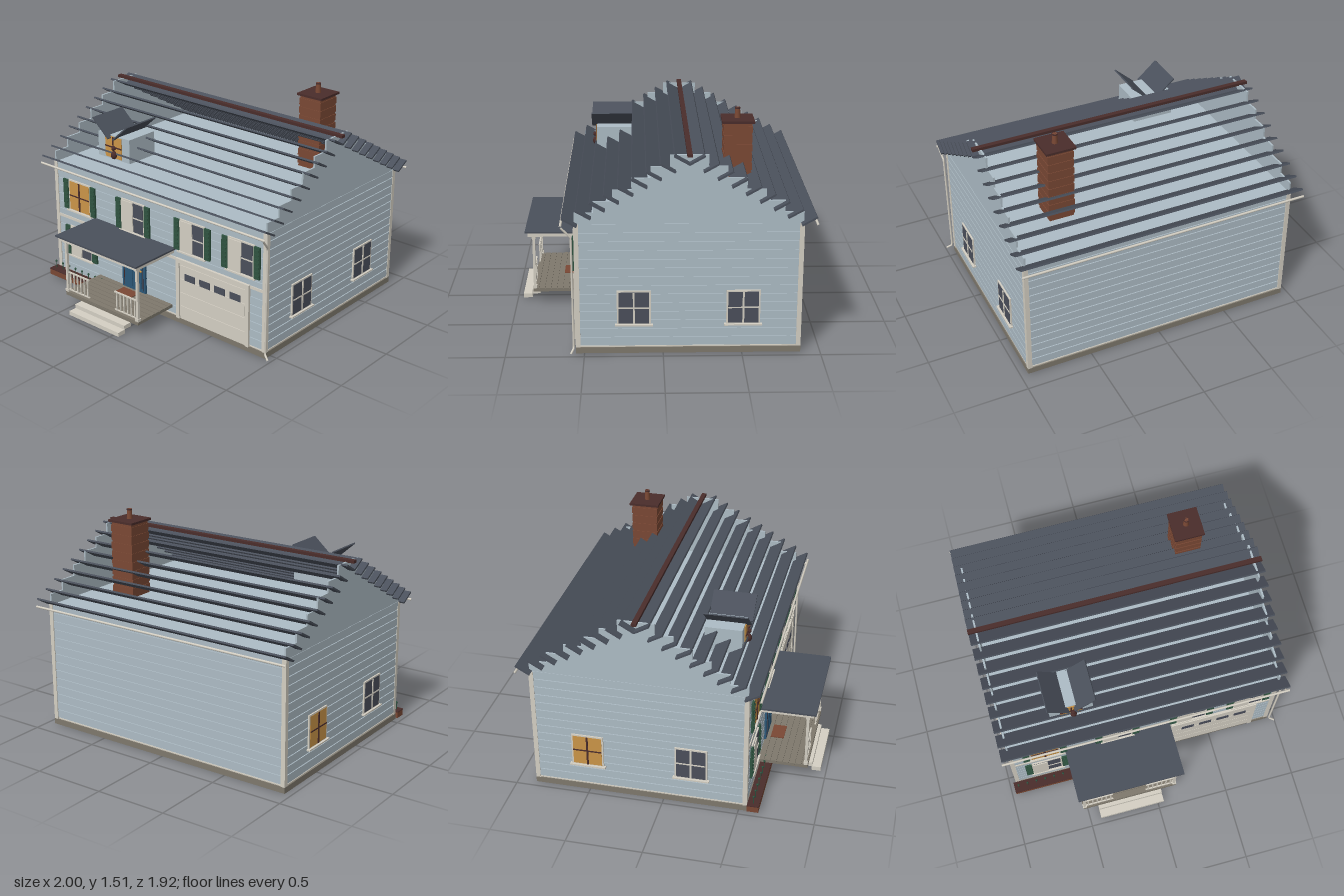
import * as THREE from 'three';

const mat = (name, color) => Object.assign(new THREE.MeshStandardMaterial({ color }), { name });

export function createModel() {
  const siding = mat('siding blue', 0xadbcc5), trim = mat('cream trim', 0xd4cfc3);
  const slate = mat('slate roof', 0x4a505b), glass = mat('dark glass', 0x4b4f5b);
  const amber = mat('lit glass', 0xcb9548), green = mat('shutter green', 0x2f5340);
  const blue = mat('door blue', 0x2c5878), brick = mat('brick', 0x7a4834);
  const brown = mat('dark brown', 0x4a2d2b), stone = mat('stone', 0x7e786c);

  const house = new THREE.Group();
  house.name = 'house';
  const group = (name, parent = house) => {
    const g = new THREE.Group();
    g.name = name;
    parent.add(g);
    return g;
  };
  const add = (parent, name, geo, m, x = 0, y = 0, z = 0) => {
    const o = new THREE.Mesh(geo, m);
    o.name = name;
    o.position.set(x, y, z);
    parent.add(o);
    return o;
  };
  // box given by its min and max on each axis
  const span = (parent, name, m, x0, x1, y0, y1, z0, z1) =>
    add(parent, name, new THREE.BoxGeometry(x1 - x0, y1 - y0, z1 - z0), m,
      (x0 + x1) / 2, (y0 + y1) / 2, (z0 + z1) / 2);
  const tube = (parent, name, m, pts, r) => {
    const path = new THREE.CurvePath();
    const v = pts.map(p => new THREE.Vector3(...p));
    for (let i = 1; i < v.length; i++) path.add(new THREE.LineCurve3(v[i - 1], v[i]));
    return add(parent, name, new THREE.TubeGeometry(path, 40, r, 8), m);
  };

  const CX = -0.003, CZ = -0.16, EAVE = 0.87;

  // Foundation and walls
  span(house, 'foundation', stone, -0.955, 0.949, 0, 0.04, -0.875, 0.555);
  span(house, 'walls', siding, -0.945, 0.939, 0.04, EAVE, -0.863, 0.543);
  span(house, 'baseTrim', trim, -0.949, 0.943, 0.04, 0.048, -0.868, 0.548);

  // Clapboards wrap all four walls
  const boards = group('clapboards');
  const rows = 14, pitch = (EAVE - 0.05) / rows;
  for (let i = 0; i < rows; i++) {
    const y = 0.05 + i * pitch;
    span(boards, 'clapboard', siding, -0.952, 0.946, y + 0.007, y + pitch, -0.87, 0.55);
  }

  // Corner boards and belt course
  for (const x of [-0.94, 0.934]) for (const z of [-0.86, 0.54])
    span(house, 'cornerBoard', trim, x - 0.015, x + 0.015, 0.04, EAVE, z - 0.015, z + 0.015);
  span(house, 'beltCourse', trim, -0.925, 0.92, 0.46, 0.48, 0.54, 0.556);

  // Stepped gable plates
  const gableShape = new THREE.Shape();
  const steps = 6, rise = (1.312 - EAVE) / steps, run = 0.71 / steps;
  gableShape.moveTo(-0.71, 0);
  for (let i = 0; i < steps; i++) {
    gableShape.lineTo(-0.71 + i * run, (i + 1) * rise);
    gableShape.lineTo(-0.71 + (i + 1) * run, (i + 1) * rise);
  }
  for (let i = steps - 1; i >= 0; i--) {
    gableShape.lineTo(0.71 - i * run, (i + 1) * rise);
    gableShape.lineTo(0.71 - i * run, i * rise);
  }
  const gableGeo = new THREE.ExtrudeGeometry(gableShape, { depth: 0.012, bevelEnabled: false });
  gableGeo.translate(0, 0, -0.006).rotateY(Math.PI / 2);
  for (const x of [-0.943, 0.937]) add(house, 'gable', gableGeo, siding, x, EAVE, CZ);

  // Roof slats, outer edges tipped up
  const roof = group('roof');
  const slatGeo = new THREE.BoxGeometry(1.985, 0.012, 0.108);
  for (const s of [-1, 1]) for (let i = 0; i < 9; i++) {
    const slat = add(roof, 'roofSlat', slatGeo, slate, CX,
      0.894 + i * 0.0492, CZ + s * (0.739 - i * 0.0867));
    slat.rotation.x = -s * 0.515;
  }
  span(roof, 'ridgeCap', brown, -0.997, 0.99, 1.308, 1.327, CZ - 0.016, CZ + 0.016);

  // Gutters and downspout
  for (const z of [0.633, -0.953])
    tube(house, 'gutter', trim, [[-1, 0.867, z], [0.99, 0.867, z]], 0.008);
  tube(house, 'downspout', trim, [[0.975, 0.86, 0.632], [0.965, 0.79, 0.57],
    [0.958, 0.04, 0.567], [0.994, 0.015, 0.585]], 0.007);

  // Chimney with projecting courses, cap and pot
  const chimney = group('chimney');
  span(chimney, 'stack', brick, 0.472, 0.64, 0.92, 1.425, -0.563, -0.391);
  for (let i = 0; i < 8; i++) {
    const y = 0.94 + i * 0.06;
    span(chimney, 'brickCourse', brick, 0.468, 0.644, y, y + 0.045, -0.567, -0.387);
  }
  span(chimney, 'cap', brown, 0.455, 0.657, 1.425, 1.44, -0.58, -0.375);
  add(chimney, 'pot', new THREE.CylinderGeometry(0.015, 0.02, 0.068, 12), brick, 0.556, 1.473, -0.477);
  add(chimney, 'potRim', new THREE.CylinderGeometry(0.018, 0.018, 0.008, 12), brown, 0.556, 1.503, -0.477);

  // Windows, built facing +z
  function addWindow(x, y, z, turn, { lit = false, blind = false, shutters = false } = {}) {
    const w = group('window');
    w.position.set(x, y, z);
    w.rotation.y = turn;
    span(w, 'frame', trim, -0.107, 0.107, -0.115, 0.115, 0, 0.01);
    span(w, 'pane', lit ? amber : glass, -0.096, 0.096, -0.105, 0.105, 0.01, 0.012);
    const bar = lit ? brown : trim;
    span(w, 'mullion', bar, -0.006, 0.006, -0.105, 0.105, 0.012, 0.017);
    span(w, 'crossBar', bar, -0.096, 0.096, -0.004, 0.004, 0.012, 0.016);
    span(w, 'sill', trim, -0.12, 0.12, -0.12, -0.11, 0, 0.025);
    if (blind) span(w, 'blind', trim, -0.1, 0.004, -0.107, 0.107, 0.012, 0.019);
    if (shutters) for (const s of [-1, 1]) {
      add(w, 'shutter', new THREE.BoxGeometry(0.047, 0.22, 0.014), green, s * 0.131, 0, 0.009);
      for (let i = 0; i < 7; i++)
        add(w, 'louvre', new THREE.BoxGeometry(0.036, 0.012, 0.006), green, s * 0.131, -0.087 + i * 0.029, 0.018);
    }
  }
  const F = 0.55;
  addWindow(-0.705, 0.655, F, 0, { lit: true, shutters: true });
  for (const x of [-0.193, 0.337, 0.745]) addWindow(x, 0.655, F, 0, { blind: true, shutters: true });
  addWindow(-0.705, 0.302, F, 0, { blind: true, shutters: true });
  for (const z of [0.185, -0.505]) {
    addWindow(0.946, 0.313, z, Math.PI / 2);
    addWindow(-0.952, 0.313, z, -Math.PI / 2, { lit: z < 0 });
  }

  // Garage door
  const garage = group('garageDoor');
  span(garage, 'surround', trim, 0.2, 0.815, 0.04, 0.482, 0.545, 0.558);
  for (const x of [0.2, 0.79]) span(garage, 'jamb', trim, x, x + 0.028, 0.04, 0.482, 0.55, 0.568);
  span(garage, 'header', trim, 0.2, 0.818, 0.455, 0.482, 0.55, 0.568);
  for (let i = 0; i < 4; i++)
    span(garage, 'panel', trim, 0.235, 0.785, 0.045 + i * 0.1, 0.139 + i * 0.1, 0.55, 0.563);
  for (let i = 0; i < 4; i++)
    span(garage, 'garagePane', glass, 0.277 + i * 0.128, 0.365 + i * 0.128, 0.34, 0.388, 0.562, 0.566);

  // Front door, wreath and bell
  const door = group('frontDoor');
  span(door, 'doorSlab', blue, -0.3, -0.085, 0.115, 0.455, 0.545, 0.564);
  span(door, 'transom', blue, -0.3, -0.085, 0.48, 0.5, 0.545, 0.56);
  for (const x of [-0.235, -0.15]) for (const [y0, y1] of [[0.14, 0.29], [0.32, 0.43]])
    span(door, 'doorPanel', blue, x - 0.032, x + 0.032, y0, y1, 0.56, 0.569);
  for (const x of [-0.28, -0.105]) span(door, 'doorStrip', brown, x - 0.002, x + 0.002, 0.13, 0.32, 0.562, 0.567);
  add(door, 'doorKnob', new THREE.SphereGeometry(0.008, 10, 8), amber, -0.115, 0.28, 0.575);
  add(door, 'wreath', new THREE.TorusGeometry(0.033, 0.011, 8, 24), green, -0.193, 0.442, 0.578);
  add(door, 'doorBell', new THREE.SphereGeometry(0.008, 10, 8), brown, -0.018, 0.425, 0.556);

  // Porch: planked deck, steps, posts, railings and roof
  const porch = group('porch');
  span(porch, 'deckFrame', stone, -0.53, 0.15, 0.09, 0.107, 0.55, 0.885);
  for (let i = 0; i < 8; i++)
    span(porch, 'deckPlank', stone, -0.533, 0.153, 0.107, 0.115, 0.553 + i * 0.0418, 0.59 + i * 0.0418);
  span(porch, 'doormat', brick, -0.265, -0.12, 0.115, 0.121, 0.59, 0.68);
  for (let i = 0; i < 3; i++)
    span(porch, 'step', trim, -0.423, 0.043, i * 0.03, i * 0.03 + 0.029, 0.9 - i * 0.057, 0.962 - i * 0.057);
  for (const x of [-0.52, 0.14]) {
    span(porch, 'post', trim, x - 0.009, x + 0.009, 0.115, 0.505, 0.862, 0.88);
    span(porch, 'postBase', trim, x - 0.014, x + 0.014, 0.115, 0.135, 0.857, 0.885);
    span(porch, 'postCapital', trim, x - 0.014, x + 0.014, 0.48, 0.503, 0.857, 0.885);
  }
  for (const [x0, x1] of [[-0.51, -0.31], [-0.07, 0.13]]) {
    span(porch, 'topRail', trim, x0, x1, 0.258, 0.267, 0.866, 0.876);
    span(porch, 'bottomRail', trim, x0, x1, 0.128, 0.135, 0.866, 0.876);
    for (let i = 0; i < 6; i++) {
      const x = x0 + 0.018 + i * (x1 - x0 - 0.036) / 5;
      span(porch, 'baluster', trim, x - 0.004, x + 0.004, 0.13, 0.26, 0.867, 0.875);
    }
  }
  span(porch, 'porchBeam', trim, -0.545, 0.17, 0.502, 0.53, 0.55, 0.91);
  span(porch, 'porchRoof', slate, -0.564, 0.184, 0.53, 0.542, 0.55, 0.928);

  // Brick planter with flower stems
  const planter = group('planter');
  span(planter, 'planterBox', brick, -0.97, -0.42, 0.008, 0.05, 0.556, 0.632);
  span(planter, 'planterRim', brown, -0.972, -0.418, 0.05, 0.056, 0.556, 0.634);
  for (let i = 0; i < 8; i++) {
    const x = -0.94 + i * 0.066;
    add(planter, 'stem', new THREE.CylinderGeometry(0.003, 0.003, 0.05, 6), green, x, 0.08, 0.595);
    add(planter, 'bud', new THREE.SphereGeometry(0.008, 8, 6), green, x, 0.108, 0.595);
  }

  // Dormer with two upswept roof leaves and a small sitting figure
  const dormer = group('dormer');
  span(dormer, 'dormerBox', siding, -0.618, -0.325, 0.97, 1.14, 0.195, 0.44);
  span(dormer, 'dormerPane', amber, -0.547, -0.396, 0.98, 1.132, 0.44, 0.446);
  span(dormer, 'dormerMullion', brown, -0.475, -0.467, 0.98, 1.132, 0.446, 0.452);
  span(dormer, 'dormerCrossBar', brown, -0.547, -0.396, 1.055, 1.063, 0.446, 0.452);
  const leafGeo = new THREE.BoxGeometry(0.187, 0.009, 0.285);
  for (const s of [-1, 1])
    add(dormer, 'dormerRoof', leafGeo, slate, -0.471 + s * 0.091, 1.183, 0.334).rotation.z = s * 0.72;
  add(dormer, 'figureBody', new THREE.SphereGeometry(0.022, 12, 10), brown, -0.46, 1.005, 0.452).scale.y = 1.3;
  add(dormer, 'figureHead', new THREE.SphereGeometry(0.016, 12, 10), brown, -0.46, 1.055, 0.455);

  return house;
}
